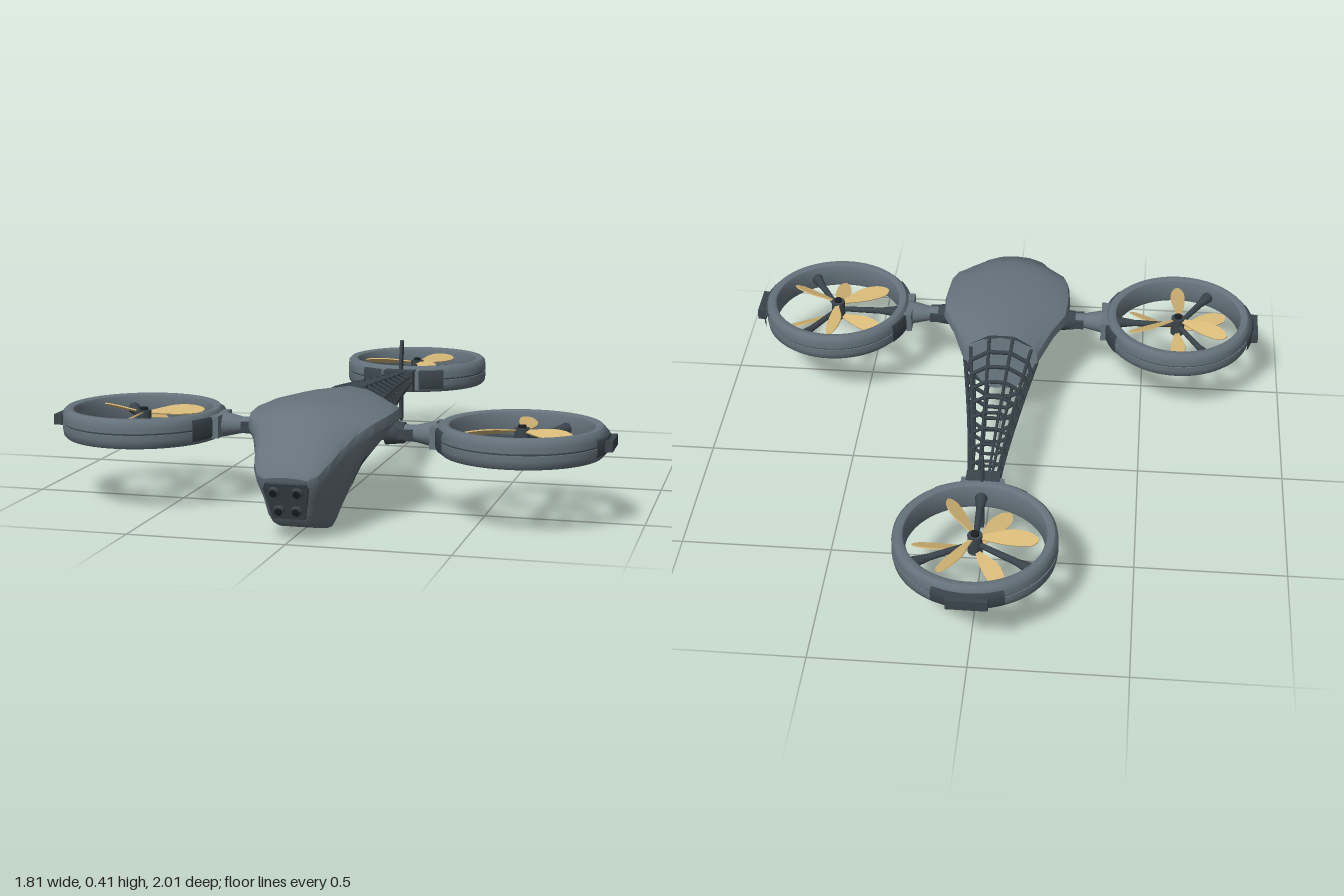
import * as THREE from 'three';
import { toCreasedNormals } from 'three/addons/utils/BufferGeometryUtils.js';

const mat = (name, color, side = THREE.FrontSide) => {
  const m = new THREE.MeshStandardMaterial({ color, side });
  m.name = name;
  return m;
};
const lerp = THREE.MathUtils.lerp;

export function createModel() {
  const hullGrey = mat('hull grey', 0x66737c);
  const frameGrey = mat('dark frame grey', 0x3b454c);
  const black = mat('lens black', 0x1b2024, THREE.DoubleSide);
  const gold = mat('blade gold', 0xd6b877);

  const model = new THREE.Group();
  model.name = 'tricopter';
  const add = (parent, name, geo, material, x = 0, y = 0, z = 0) => {
    const m = new THREE.Mesh(geo, material);
    m.name = name;
    m.position.set(x, y, z);
    parent.add(m);
    return m;
  };
  // Tapered rod between two points
  const rod = (parent, name, a, b, r0, r1, material, sides = 6) => {
    const d = b.clone().sub(a);
    const m = add(parent, name, new THREE.CylinderGeometry(r1, r0, d.length(), sides), material);
    m.position.copy(a).add(b).multiplyScalar(0.5);
    m.quaternion.setFromUnitVectors(new THREE.Vector3(0, 1, 0), d.normalize());
    return m;
  };

  // Hull stations, nose to tail: z top, z bottom, half width, top, shoulder, widest, bottom heights, bottom half width
  const stations = [
    [0.997, 0.948, 0.068, 0.205, 0.2, 0.18, 0.068, 0.042],
    [0.985, 0.93, 0.095, 0.228, 0.216, 0.186, 0.05, 0.058],
    [0.93, 0.89, 0.12, 0.27, 0.25, 0.21, 0.036, 0.07],
    [0.85, 0.84, 0.14, 0.318, 0.286, 0.24, 0.02, 0.078],
    [0.78, 0.775, 0.167, 0.355, 0.317, 0.27, 0.005, 0.082],
    [0.72, 0.735, 0.2, 0.374, 0.335, 0.295, 0.02, 0.08],
    [0.66, 0.68, 0.219, 0.376, 0.343, 0.303, 0.085, 0.082],
    [0.56, 0.56, 0.228, 0.376, 0.345, 0.305, 0.105, 0.085],
    [0.46, 0.46, 0.222, 0.375, 0.343, 0.3, 0.12, 0.085],
    [0.37, 0.38, 0.178, 0.37, 0.335, 0.29, 0.14, 0.075],
    [0.26, 0.22, 0.13, 0.358, 0.322, 0.272, 0.172, 0.06],
  ];
  const halfSection = ([zt, zb, w, yt, ys, yw, yb, wb]) => [
    [0, yt], [0.45 * w, lerp(yt, ys, 0.25)], [0.85 * w, ys], [0.97 * w, (ys + yw) / 2 + 0.008], [w, yw],
    [lerp(w, wb, 0.45), lerp(yw, yb, 0.4)], [wb + 0.012, yb + 0.03], [wb, yb + 0.008], [0.8 * wb, yb], [0, yb],
  ].map(([x, y]) => new THREE.Vector3(x, y, lerp(zb, zt, (y - yb) / (yt - yb))));
  const halves = stations.map(halfSection);
  const rings = halves.map(h => [...h, ...h.slice(1, -1).reverse().map(p => new THREE.Vector3(-p.x, p.y, p.z))]);
  const n = rings[0].length, pos = [], idx = [];
  rings.forEach(r => r.forEach(p => pos.push(p.x, p.y, p.z)));
  for (let i = 0; i < rings.length - 1; i++)
    for (let j = 0; j < n; j++) {
      const a = i * n + j, b = i * n + (j + 1) % n;
      idx.push(a, b, a + n, b, b + n, a + n);
    }
  const last = (rings.length - 1) * n;
  for (let j = 1; j < n - 1; j++) idx.push(0, j + 1, j, last, last + j, last + j + 1);
  const hull = new THREE.BufferGeometry();
  hull.setAttribute('position', new THREE.Float32BufferAttribute(pos, 3));
  hull.setIndex(idx);
  add(model, 'hull', toCreasedNormals(hull, 0.7), hullGrey);

  // Side vents follow the hull surface behind the chin
  const hullPoint = (s, k) => {
    const i = Math.floor(s), j = Math.floor(k);
    const at = q => halves[q][j].clone().lerp(halves[q][j + 1], k - j);
    return at(i).lerp(at(i + 1), s - i);
  };
  for (const side of [1, -1]) {
    const vp = [], vi = [], N = 5;
    for (let a = 0; a < N; a++)
      for (let b = 0; b < N; b++) {
        const p = hullPoint(5.0 + 0.9 * a / (N - 1), 4.75 + 0.75 * b / (N - 1));
        vp.push(side * (p.x + 0.005), p.y - 0.003, p.z);
        if (a && b) {
          const c = a * N + b;
          vi.push(c - N - 1, c - N, c - 1, c - N, c, c - 1);
        }
      }
    const vent = new THREE.BufferGeometry();
    vent.setAttribute('position', new THREE.Float32BufferAttribute(vp, 3));
    vent.setIndex(side > 0 ? vi : vi.reverse());
    vent.computeVertexNormals();
    add(model, 'sideVent', vent, black);
  }

  // Sensor plate on the nose with four lenses
  const sensors = new THREE.Group();
  sensors.name = 'noseSensors';
  sensors.position.set(0, 0.133, 0.972);
  sensors.rotation.x = 0.36;
  model.add(sensors);
  const plate = new THREE.Shape([[-0.05, -0.062], [0.05, -0.062], [0.07, 0.04], [0.062, 0.06], [-0.062, 0.06], [-0.07, 0.04]]
    .map(p => new THREE.Vector2(...p)));
  add(sensors, 'sensorPlate', new THREE.ExtrudeGeometry(plate, { depth: 0.012, bevelEnabled: false }), frameGrey, 0, 0, -0.004);
  for (const x of [-1, 1])
    for (const y of [-1, 1]) {
      const px = x * (y > 0 ? 0.036 : 0.027);
      const rim = add(sensors, 'lensRim', new THREE.CylinderGeometry(0.016, 0.018, 0.012, 20), frameGrey, px, y * 0.032, 0.012);
      const lens = add(sensors, 'lens', new THREE.CylinderGeometry(0.012, 0.012, 0.006, 20), black, px, y * 0.032, 0.017);
      rim.rotation.x = lens.rotation.x = Math.PI / 2;
    }

  // Lattice tail boom: longerons joined by ribs
  const boom = new THREE.Group();
  boom.name = 'latticeBoom';
  model.add(boom);
  const profile = [[0.33, 1], [0.85, 0.8], [1, 0.5], [0.75, 0.18], [0.35, 0]];
  const outline = [...profile, ...profile.map(([x, y]) => [-x, y]).reverse()];
  const boomPoint = (u, [fx, fy]) => new THREE.Vector3(
    fx * (0.05 + 0.077 * Math.pow(1 - u, 1.3)),
    lerp(lerp(0.175, 0.235, u), lerp(0.353, 0.293, u), fy),
    lerp(0.25, -0.43, u) + 0.035 * (1 - u) * (fy - 0.5));
  const steps = 9;
  for (let i = 0; i <= steps; i++)
    outline.forEach((p, j) => {
      const u = i / steps, r = lerp(0.008, 0.005, u);
      const a = boomPoint(u, p);
      rod(boom, 'rib', a, boomPoint(u, outline[(j + 1) % outline.length]), r, r, frameGrey, 5);
      if (i < steps) rod(boom, 'longeron', a, boomPoint(u + 1 / steps, p), r * 0.85, r * 0.8, frameGrey, 5);
    });

  // Tail joint and vertical fin
  add(model, 'tailJoint', new THREE.BoxGeometry(0.11, 0.075, 0.05), frameGrey, 0, 0.265, -0.43);
  const fin = new THREE.Shape();
  fin.moveTo(0.462, 0.41);
  fin.quadraticCurveTo(0.44, 0.38, 0.437, 0.262);
  fin.quadraticCurveTo(0.44, 0.14, 0.46, 0.11);
  fin.lineTo(0.474, 0.118);
  fin.lineTo(0.474, 0.405);
  fin.closePath();
  const finGeo = new THREE.ExtrudeGeometry(fin, { depth: 0.01, bevelEnabled: false });
  finGeo.rotateY(Math.PI / 2).translate(-0.005, 0, 0);
  add(model, 'tailFin', finGeo, frameGrey);

  // Ducted rotor, built with its mount toward -x
  const blade = new THREE.Shape();
  blade.moveTo(0.015, 0.007);
  blade.bezierCurveTo(0.06, 0.012, 0.09, 0.04, 0.15, 0.03);
  blade.quadraticCurveTo(0.19, 0.022, 0.2, 0.002);
  blade.quadraticCurveTo(0.195, -0.018, 0.17, -0.022);
  blade.bezierCurveTo(0.12, -0.028, 0.07, -0.02, 0.015, -0.007);
  const bladeGeo = new THREE.ExtrudeGeometry(blade, { depth: 0.004, bevelEnabled: false, curveSegments: 8 });
  bladeGeo.rotateX(-Math.PI / 2 + 0.42);
  const ductProfile = [[0.22, -0.03], [0.225, -0.043], [0.235, -0.048], [0.248, -0.047], [0.257, -0.038], [0.26, -0.02],
    [0.26, -0.003], [0.255, -0.003], [0.255, 0.003], [0.26, 0.003], [0.26, 0.02], [0.257, 0.038], [0.248, 0.047],
    [0.235, 0.048], [0.225, 0.043], [0.22, 0.03], [0.22, -0.03]].map(p => new THREE.Vector2(...p));
  const ductGeo = toCreasedNormals(new THREE.LatheGeometry(ductProfile, 64), 0.7);
  // Bracket hugging the duct, centred on +x or -x
  const bracket = (center, half, r0, r1, h) => {
    const pts = [[r0, -h], [r1 - 0.004, -h], [r1, -h * 0.7], [r1, h * 0.7], [r1 - 0.004, h], [r0, h]].map(p => new THREE.Vector2(...p));
    return toCreasedNormals(new THREE.LatheGeometry(pts, 14, Math.PI / 2 + center - half, 2 * half), 0.5);
  };
  const makeRotor = (name, x, z, turn) => {
    const g = new THREE.Group();
    g.name = name;
    g.position.set(x, 0.264, z);
    g.rotation.y = turn;
    model.add(g);
    add(g, 'duct', ductGeo, hullGrey);
    add(g, 'ductSeam', new THREE.CylinderGeometry(0.2565, 0.2565, 0.005, 64, 1, true), frameGrey);
    add(g, 'outerBracket', bracket(0, 0.43, 0.25, 0.272, 0.026), frameGrey);
    add(g, 'outerBlock', new THREE.BoxGeometry(0.03, 0.034, 0.13), frameGrey, 0.272, 0, 0);
    add(g, 'innerBracket', bracket(Math.PI, 0.6, 0.25, 0.268, 0.034), frameGrey);
    add(g, 'innerBlock', new THREE.BoxGeometry(0.03, 0.07, 0.14), hullGrey, -0.262, 0, 0);
    add(g, 'hub', new THREE.CylinderGeometry(0.024, 0.024, 0.066, 20), frameGrey);
    for (const s of [1, -1]) add(g, 'hubCap', new THREE.CylinderGeometry(0.013, 0.013, 0.012, 16), black, 0, s * 0.036, 0);
    for (let k = 0; k < 3; k++) {
      const a = Math.PI + k * Math.PI * 2 / 3, dir = new THREE.Vector3(Math.cos(a), 0, Math.sin(a));
      rod(g, 'strut', dir.clone().multiplyScalar(0.015), dir.clone().multiplyScalar(0.17), 0.009, 0.012, frameGrey, 8);
      rod(g, 'strutFoot', dir.clone().multiplyScalar(0.16), dir.clone().multiplyScalar(0.228), 0.012, 0.022, frameGrey, 8);
      // Upper and lower blades interleave
      for (const s of [1, -1])
        add(g, s > 0 ? 'upperBlade' : 'lowerBlade', bladeGeo, gold, 0, s * 0.024, 0).rotation.y = s * Math.PI / 2 + k * Math.PI * 2 / 3;
    }
  };
  makeRotor('leftRotor', 0.62, 0.53, 0);
  makeRotor('rightRotor', -0.62, 0.53, Math.PI);
  makeRotor('tailRotor', 0, -0.715, Math.PI / 2);

  // Side arms
  for (const s of [1, -1]) {
    const p = x => new THREE.Vector3(s * x, 0.264, 0.53);
    rod(model, 'arm', p(0.15), p(0.32), 0.027, 0.027, hullGrey, 24);
    rod(model, 'armFlare', p(0.285), p(0.355), 0.027, 0.043, hullGrey, 24);
    rod(model, 'armCollar', p(0.19), p(0.25), 0.04, 0.033, frameGrey, 24);
    add(model, 'armHinge', new THREE.BoxGeometry(0.05, 0.03, 0.07), frameGrey, s * 0.255, 0.264, 0.53);
  }
  return model;
}
